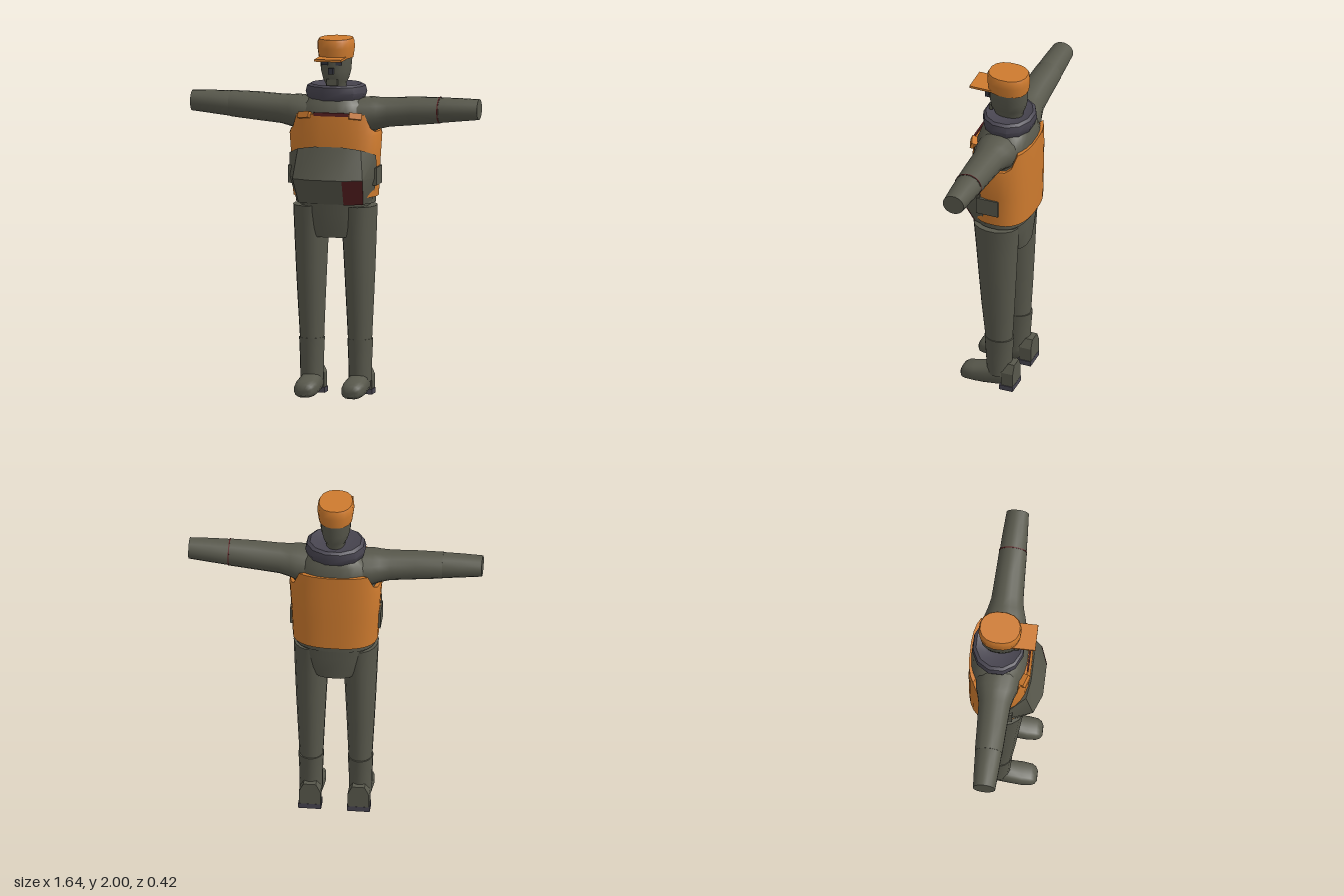
import * as THREE from 'three';
import { toCreasedNormals } from 'three/addons/utils/BufferGeometryUtils.js';

const mat = (name, color, side = THREE.FrontSide) => {
  const m = new THREE.MeshStandardMaterial({ color, side });
  m.name = name;
  return m;
};

// Superellipse ring across an axis: p = position along it, (u, v) centre, (ru, rv) radii.
function ring(axis, p, u, v, ru, rv, n = 2, count = 16) {
  const pts = [];
  for (let i = 0; i < count; i++) {
    const a = ((i + 0.5) / count) * Math.PI * 2;
    const f = (t) => Math.sign(t) * Math.pow(Math.abs(t), 2 / n);
    const c = f(Math.cos(a)) * ru, s = f(Math.sin(a)) * rv;
    if (axis === 'y') pts.push([u + c, p, v - s]);
    else if (axis === 'x') pts.push([p, u + s * ru / rv, v - c * rv / ru]);
    else pts.push([u + c, v + s, p]);
  }
  return pts;
}

// Skin closed rings in order along a positive axis, with optional end caps.
function loft(rings, caps = true, crease = 0.7) {
  const n = rings[0].length, pos = rings.flat(2), idx = [];
  for (let r = 0; r < rings.length - 1; r++) {
    for (let i = 0; i < n; i++) {
      const a = r * n + i, b = r * n + ((i + 1) % n);
      idx.push(a, b, b + n, a, b + n, a + n);
    }
  }
  if (caps) {
    const top = (rings.length - 1) * n;
    for (let i = 1; i < n - 1; i++) idx.push(0, i + 1, i, top, top + i, top + i + 1);
  }
  const g = new THREE.BufferGeometry();
  g.setAttribute('position', new THREE.Float32BufferAttribute(pos, 3));
  g.setIndex(idx);
  return toCreasedNormals(g, crease);
}

// Upright loft from rows of [y, halfWidth, zBack, zFront].
const upright = (rows, x = 0, n = 2, count = 16) =>
  rows.map(([y, hx, z0, z1]) => ring('y', y, x, (z0 + z1) / 2, hx, (z1 - z0) / 2, n, count));

// Arm rings from rows of [x, yLow, yHigh, zRadius], ordered along +x for either side.
function armRings(rows, s) {
  const out = rows.map(([x, y0, y1, rz]) =>
    ring('x', s * x, (y0 + y1) / 2, -0.036, (y1 - y0) / 2, rz, 2, 16));
  return s < 0 ? out.reverse() : out;
}

export function createModel() {
  const model = new THREE.Group();
  const olive = mat('olive cloth', 0x58584c);
  const orange = mat('orange cloth', 0xcd7a2e, THREE.DoubleSide);
  const slate = mat('slate padding', 0x484550);
  const red = mat('dark red cloth', 0x5a2022, THREE.DoubleSide);
  const dark = mat('dark eyes', 0x34353e);

  const add = (name, geo, material) => {
    const m = new THREE.Mesh(geo, material);
    m.name = name;
    model.add(m);
    return m;
  };
  const box = (name, w, h, d, x, y, z, material) => {
    const m = add(name, new THREE.BoxGeometry(w, h, d), material);
    m.position.set(x, y, z);
    return m;
  };

  // Jacket body
  add('jacket', loft(upright([
    [1.085, 0.222, -0.185, 0.115], [1.3, 0.23, -0.195, 0.115], [1.5, 0.232, -0.2, 0.12],
    [1.58, 0.215, -0.2, 0.12], [1.64, 0.18, -0.19, 0.1], [1.675, 0.14, -0.17, 0.07],
  ], 0, 2.5, 24)), olive);

  // Vest: hem to shoulder, with the top edge dipping under each arm
  const vestRows = upright([
    [1.122, 0.238, -0.208, 0.125], [1.3, 0.246, -0.211, 0.133], [1.47, 0.258, -0.211, 0.138],
    [1.59, 0.252, -0.209, 0.128], [1.59, 0.215, -0.195, 0.112],
  ], 0, 2.6, 28);
  for (const r of vestRows.slice(3)) {
    r.forEach((p, i) => {
      const side = THREE.MathUtils.smoothstep(Math.abs(vestRows[3][i][0]), 0.19, 0.235);
      p[1] = 1.59 - side * 0.1;
    });
  }
  add('vest', loft(vestRows, false), orange);

  // Chest tabs and undershirt edge
  for (const s of [-1, 1]) {
    const tab = box('chestTab', 0.07, 0.035, 0.03, s * 0.145, 1.582, 0.112, orange);
    tab.rotation.set(-0.35, s * 0.35, 0);
  }
  box('undershirtEdge', 0.2, 0.02, 0.009, 0.01, 1.59, 0.124, red);

  // Belly pouch: back edge inside the body, faceted front
  const pouchRing = (p) => {
    const [a, b, c] = p;
    const flip = ([x, y, z]) => [-x, y, z];
    return [a, flip(a), flip(b), flip(c), c, b];
  };
  const low = [[0.215, 1.09, 0.01], [0.185, 1.085, 0.085], [0.08, 1.085, 0.118]];
  const mid = [[0.252, 1.235, 0.03], [0.2, 1.23, 0.168], [0.09, 1.23, 0.21]];
  const high = [[0.247, 1.36, 0.04], [0.18, 1.395, 0.125], [0.08, 1.41, 0.142]];
  add('bellyPouch', loft([low, mid, high].map(pouchRing), true, 0.5), olive);
  for (const s of [-1, 1]) box('pouchStrap', 0.03, 0.1, 0.13, s * 0.238, 1.24, -0.01, olive);

  // Red patch on the pouch
  const patch = new THREE.BufferGeometry();
  const corners = [low[2], low[1], mid[1], mid[2]].map(([x, y, z]) => [x + 0.001, y - 0.002, z + 0.003]);
  patch.setAttribute('position', new THREE.Float32BufferAttribute(corners.flat(), 3));
  patch.setIndex([0, 1, 2, 0, 2, 3]);
  patch.computeVertexNormals();
  add('pouchPatch', patch, red);

  // Hips
  add('hips', loft(upright([
    [0.895, 0.125, -0.165, 0.092], [0.95, 0.16, -0.17, 0.1],
    [1.03, 0.185, -0.177, 0.11], [1.1, 0.2, -0.18, 0.115],
  ], 0, 2.8)), olive);

  for (const s of [-1, 1]) {
    // Arms
    add('upperArm', loft(armRings([
      [0.05, 1.45, 1.665, 0.13], [0.21, 1.478, 1.678, 0.118], [0.25, 1.497, 1.675, 0.105],
      [0.31, 1.512, 1.676, 0.091], [0.45, 1.525, 1.684, 0.084], [0.6, 1.54, 1.686, 0.078],
    ], s)), olive);
    add('forearm', loft(armRings([
      [0.598, 1.542, 1.684, 0.076], [0.7, 1.553, 1.684, 0.071], [0.82, 1.566, 1.681, 0.063],
    ], s)), olive);

    // Legs and boot shafts
    add('leg', loft([
      ...upright([[0.3, 0.066, -0.115, 0.04]], s * 0.137),
      ...upright([[0.53, 0.077, -0.128, 0.064]], s * 0.138),
      ...upright([[0.72, 0.086, -0.137, 0.08]], s * 0.138),
      ...upright([[0.9, 0.094, -0.145, 0.095]], s * 0.137),
      ...upright([[1.07, 0.1, -0.155, 0.11]], s * 0.137),
    ]), olive);
    add('bootShaft', loft(upright([
      [0.08, 0.064, -0.11, 0.03], [0.2, 0.066, -0.115, 0.038], [0.318, 0.071, -0.124, 0.045],
    ], s * 0.138)), olive);

    // Boot foot: [z, halfWidth, bottom, top]
    add('bootFoot', loft([
      [-0.11, 0.052, 0.015, 0.12], [-0.03, 0.057, 0.005, 0.13], [0.04, 0.062, 0, 0.115],
      [0.1, 0.065, 0, 0.1], [0.15, 0.06, 0, 0.09], [0.172, 0.048, 0.003, 0.075], [0.183, 0.028, 0.012, 0.052],
    ].map(([z, hx, y0, y1]) => ring('z', z, s * 0.135, (y0 + y1) / 2, hx, (y1 - y0) / 2, 2.8))), olive);
    const heel = new THREE.Shape([[-0.06, 0.028], [0.06, 0.028], [0.06, 0.11], [0.035, 0.16], [-0.035, 0.16], [-0.06, 0.11]]
      .map(([x, y]) => new THREE.Vector2(x, y)));
    add('heelCounter', new THREE.ExtrudeGeometry(heel, { depth: 0.07, bevelEnabled: false }), olive)
      .position.set(s * 0.136, 0, -0.142);
    box('heelSole', 0.128, 0.03, 0.08, s * 0.136, 0.015, -0.103, slate);

    // Eyes
    box('eye', 0.036, 0.026, 0.008, s * 0.04, 1.872, 0.062, dark).rotation.y = s * 0.3;
  }

  // Sleeve seam on the left arm
  add('sleeveSeam', loft(armRings([[0.592, 1.538, 1.688, 0.08], [0.598, 1.538, 1.688, 0.08]], 1)), red);

  // Collar
  add('collar', loft(upright([
    [1.645, 0.145, -0.17, 0.075], [1.665, 0.16, -0.185, 0.09], [1.7, 0.172, -0.196, 0.1],
    [1.735, 0.163, -0.192, 0.097], [1.746, 0.145, -0.175, 0.085], [1.73, 0.085, -0.135, 0.045],
  ], 0, 2.1, 12)), slate);

  // Head and face
  add('head', loft(upright([
    [1.66, 0.05, -0.12, 0.01], [1.745, 0.055, -0.125, 0.045], [1.775, 0.07, -0.138, 0.06],
    [1.82, 0.082, -0.148, 0.068], [1.9, 0.089, -0.15, 0.07],
  ], 0, 2.2)), olive);
  box('nose', 0.026, 0.034, 0.035, 0, 1.828, 0.079, dark);
  box('mouth', 0.062, 0.034, 0.02, 0, 1.762, 0.055, olive);

  // Cap with flat crown and brim
  add('cap', loft(upright([
    [1.892, 0.094, -0.154, 0.072], [1.95, 0.102, -0.161, 0.08],
    [1.985, 0.1, -0.158, 0.078], [2.0, 0.093, -0.152, 0.072],
  ], 0, 2.3)), orange);
  box('capBrim', 0.152, 0.013, 0.13, 0, 1.897, 0.1, orange);

  return model;
}
